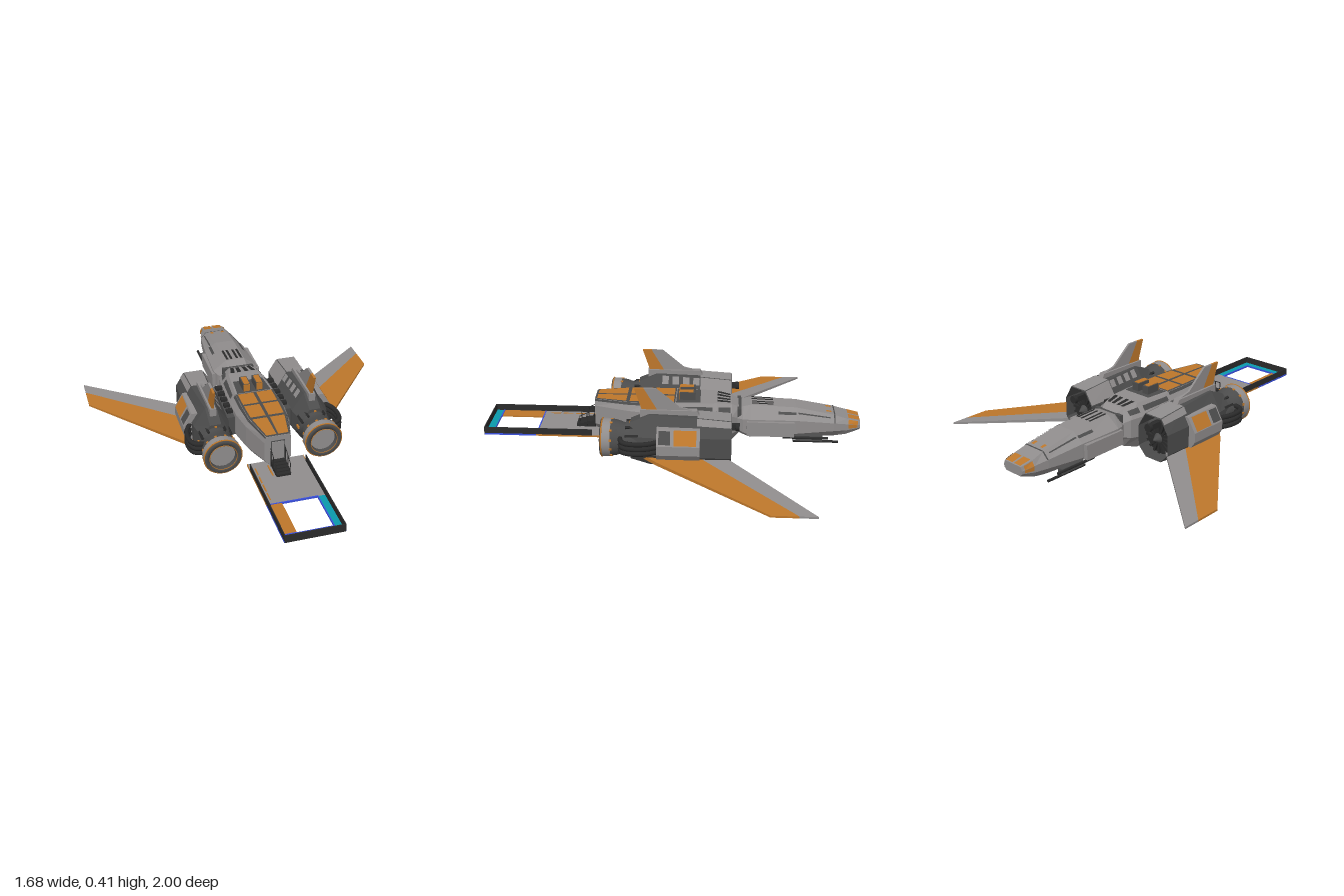
import * as THREE from 'three';

const mat = (name, color) => Object.assign(new THREE.MeshStandardMaterial({ color, side: THREE.DoubleSide }), { name });

export function createModel() {
  const root = new THREE.Group();
  root.name = 'spaceship';
  const M = {
    grey: mat('hull grey', 0x908d8d), dark: mat('dark grey', 0x4c4c4c), black: mat('near black', 0x2b2b2b),
    orange: mat('orange', 0xbd772b), teal: mat('teal', 0x0a9aac), blue: mat('blue', 0x3a50e0),
  };
  const add = (name, geo, m, x = 0, y = 0, z = 0) => {
    const mesh = new THREE.Mesh(geo, m);
    mesh.name = name;
    mesh.position.set(x, y, z);
    root.add(mesh);
    return mesh;
  };
  const box = (name, m, x0, x1, y0, y1, z0, z1) => add(name,
    new THREE.BoxGeometry(Math.abs(x1 - x0), y1 - y0, z1 - z0), m, (x0 + x1) / 2, (y0 + y1) / 2, (z0 + z1) / 2);
  const tube = (name, m, pts, r) => add(name, new THREE.TubeGeometry(
    new THREE.CatmullRomCurve3(pts.map(p => new THREE.Vector3(...p))), 16, r, 8), m);

  // eight-sided cross-section: z, half width, top half width, bottom/low/high/top y, bottom half width
  const ring = ([z, w, wt, yb, yl, yh, yt, wb], cx = 0) =>
    [[wb, yb], [w, yl], [w, yh], [wt, yt], [-wt, yt], [-w, yh], [-w, yl], [-wb, yb]]
      .map(([x, y]) => new THREE.Vector3(x + cx, y, z));
  const fromPoints = v => {
    const g = new THREE.BufferGeometry().setFromPoints(v);
    g.computeVertexNormals();
    return g;
  };
  const loft = (rings, capBack = true) => {
    const v = [], n = 8;
    for (let i = 0; i < rings.length - 1; i++) for (let j = 0; j < n; j++) {
      const a = rings[i][j], b = rings[i][(j + 1) % n], c = rings[i + 1][(j + 1) % n], d = rings[i + 1][j];
      v.push(a, b, d, b, c, d);
    }
    const first = rings[0], last = rings[rings.length - 1];
    for (let j = 1; j < n - 1; j++) {
      if (capBack) v.push(first[0], first[j + 1], first[j]);
      v.push(last[0], last[j], last[j + 1]);
    }
    return fromPoints(v);
  };
  // thin plate lying on one facet between two rings; on side facets u counts upwards
  const panel = (name, m, A, B, j, u0, u1, v0, v1, lift = 0.004) => {
    const k = (j + 1) % 8;
    if (j === 4 || j === 5) [u0, u1] = [1 - u1, 1 - u0];
    const at = (u, v) => A[j].clone().lerp(A[k], u).lerp(B[j].clone().lerp(B[k], u), v);
    const p = [at(u0, v0), at(u1, v0), at(u1, v1), at(u0, v1)];
    const nrm = p[1].clone().sub(p[0]).cross(p[3].clone().sub(p[0])).normalize().multiplyScalar(lift);
    p.forEach(q => q.add(nrm));
    add(name, fromPoints([p[0], p[1], p[3], p[1], p[2], p[3]]), m);
  };
  const shape = pts => new THREE.Shape(pts.map(p => new THREE.Vector2(...p)));

  // forward hull, nose towards -z
  const nose = [
    [-1, .065, .058, .115, .13, .145, .165, .05],
    [-.93, .08, .064, .09, .12, .155, .18, .06],
    [-.86, .095, .06, .078, .12, .165, .2, .06],
    [-.66, .118, .055, .07, .11, .185, .235, .07],
    [-.42, .128, .055, .068, .1, .19, .245, .08],
    [-.38, .115, .055, .08, .11, .185, .235, .07],
    [-.34, .085, .05, .09, .12, .18, .22, .05]].map(s => ring(s));
  add('forwardHull', loft(nose), M.grey);
  for (const [a, b] of [[.06, .45], [.55, .94]]) panel('noseTopPanel', M.orange, nose[0], nose[1], 3, a, b, .05, .9);
  for (const u of [.15, .7]) panel('noseMarker', M.orange, nose[2], nose[3], 3, u, u + .15, .06, .2);
  panel('noseSeam', M.dark, nose[1], nose[2], 3, 0, 1, .9, 1, .002);
  for (const j of [1, 5]) panel('noseCheekPanel', M.orange, nose[0], nose[1], j, .3, 1, .2, .9);
  for (const j of [2, 4]) {
    panel('noseSidePanel', M.orange, nose[0], nose[1], j, 0, .9, .2, .9);
    panel('noseSeam', M.dark, nose[1], nose[2], j, 0, 1, .9, 1, .002);
    panel('canopyGroove', M.dark, nose[2], nose[3], j, .5, .62, .1, .95);
    panel('canopyPanel', M.dark, nose[3], nose[4], j, .4, .6, .0, .4);
  }
  for (const u of [.08, .3, .6, .82]) panel('deckSlot', M.black, nose[3], nose[4], 3, u, u + .12, .5, .98);

  // main hull
  const hull = [
    [-.36, .085, .05, .08, .11, .18, .23, .05],
    [-.32, .118, .065, .04, .1, .2, .25, .065],
    [-.24, .13, .085, .012, .09, .2, .262, .08],
    [-.02, .135, .104, .012, .09, .21, .262, .085],
    [.1, .135, .104, .015, .09, .215, .262, .085],
    [.23, .118, .099, .045, .1, .22, .262, .075],
    [.41, .07, .062, .09, .12, .225, .26, .045]].map(s => ring(s));
  add('mainHull', loft(hull), M.grey);
  for (let i = 3; i < 6; i++) {
    panel('roofFrame', M.dark, hull[i], hull[i + 1], 3, 0, 1, 0, 1, .002);
    for (const [a, b] of [[.05, .46], [.54, .95]]) panel('roofPanel', M.orange, hull[i], hull[i + 1], 3, a, b, .06, .94);
    for (const j of [2, 4]) panel('roofSideFrame', M.dark, hull[i], hull[i + 1], j, .7, 1, 0, 1, .002);
  }
  for (const u of [.08, .3, .56, .78]) panel('roofSlot', M.black, hull[1], hull[2], 3, u, u + .14, .1, .98);
  for (const j of [2, 4]) for (let i = 1; i < 3; i++) panel('roofSideSlot', M.dark, hull[i], hull[i + 1], j, .3, .7, .1, .9);
  panel('ventBed', M.dark, hull[2], hull[3], 3, .05, .95, .4, .98, .002);
  box('neckBand', M.dark, -.09, .09, .1, .232, -.37, -.35);
  box('rearDoorFrame', M.dark, -.037, .037, .12, .232, .408, .412);
  box('rearDoor', M.grey, -.032, .032, .12, .227, .409, .415);

  // boarding steps and rails
  for (let i = 0; i < 5; i++) box('step', M.black, -.038, .038, .085, .098 + i * .006, .495 - i * .02, .518 - i * .02);
  for (const s of [-1, 1]) {
    tube('stepRail', M.black, [[s * .038, .145, .5], [s * .038, .165, .46], [s * .038, .19, .41]], .002);
    for (const [z, y] of [[.5, .145], [.46, .165], [.42, .185]]) box('railPost', M.black, s * .036, s * .04, .085, y, z - .002, z + .002);
  }

  // rear platform with open bay
  box('platformDeck', M.grey, -.15, .15, .078, .085, .37, .72);
  box('bayOrangeStrip', M.orange, -.15, -.075, .078, .085, .72, .955);
  box('bayTealSide', M.teal, .11, .15, .078, .085, .72, .955);
  box('bayTealEnd', M.teal, -.15, .15, .078, .085, .955, .995);
  box('bayBlueEdge', M.blue, -.15, .11, .077, .087, .716, .722);
  box('bayBlueEdge', M.blue, .107, .112, .077, .087, .72, .955);
  box('bayBlueEdge', M.blue, -.15, -.075, .077, .087, .95, .957);
  box('bayBlueEdge', M.blue, -.075, .11, .077, .087, .953, .956);
  for (const z of [.42, .49, .56, .63]) box('deckStripe', M.orange, -.126, -.119, .084, .087, z, z + .055);
  box('deckThreshold', M.orange, -.056, -.048, .084, .087, .41, .5);
  for (const s of [-1, 1]) {
    box('platformWall', M.black, s * .146, s * .151, .086, .12, .42, 1);
    box('platformBlueEdge', M.blue, s * .149, s * .152, .077, .086, .72, .998);
    box('platformOrangeEdge', M.orange, s * .149, s * .152, .077, .086, .37, .72);
  }
  box('platformEndWall', M.black, -.151, .151, .077, .12, .995, 1);

  for (const s of [-1, 1]) {
    const X = .27 * s;
    // roof vents: dark housings with orange lids and rear faces
    box('roofVent', M.dark, s * .015, s * .055, .25, .306, -.125, -.042);
    box('roofVentLid', M.orange, s * .02, s * .05, .305, .309, -.115, -.042);
    box('roofVentRear', M.orange, s * .018, s * .053, .262, .303, -.043, -.038);
    // cheeks and guns beside the nose
    box('hullCheek', M.grey, s * .1, s * .14, .1, .18, -.65, -.4);
    box('gunMount', M.dark, s * .09, s * .122, .072, .1, -.8, -.66);
    for (const [x, y, z] of [[.113, .068, -.885], [.122, .09, -.83]])
      add('gunBarrel', new THREE.CylinderGeometry(.007, .007, .24, 8).rotateX(Math.PI / 2), M.black, s * x, y, z + .12);
    // link between hull and engine
    box('engineLink', M.dark, s * .1, s * .19, .08, .19, -.25, .08);
    for (let i = 0; i < 5; i++) box('linkRib', M.black, s * .13, s * .168, .07, .205, -.23 + i * .06, -.2 + i * .06);

    // engine nacelle, intake open at -z
    const nac = [
      [-.32, .098, .052, .03, .08, .19, .265, .05],
      [-.14, .1, .048, .012, .08, .19, .278, .05],
      [.1, .095, .03, .012, .085, .185, .285, .045],
      [.2, .075, .03, .04, .1, .18, .24, .04]].map(a => ring(a, X));
    add('nacelle', loft(nac, false), M.dark);
    const inner = s > 0 ? 4 : 2, outer = s > 0 ? 2 : 4;
    panel('nacelleRoofPlate', M.grey, nac[0], nac[1], 3, .01, .99, .02, .98);
    panel('nacelleInnerPlate', M.grey, nac[0], nac[1], inner, .05, 1, .02, .98);
    panel('nacelleOuterPlate', M.grey, nac[0], nac[1], outer, .62, 1, .02, .98);
    for (let i = 0; i < 4; i++) panel('nacelleRoofTooth', M.grey, nac[1], nac[2], inner, .55, .95, i * .24, i * .24 + .15);
    add('intakeFan', new THREE.CylinderGeometry(.09, .09, .01, 16).rotateX(Math.PI / 2), M.black, X, .135, -.26);
    add('intakeHub', new THREE.ConeGeometry(.04, .06, 12).rotateX(-Math.PI / 2), M.dark, X, .135, -.29);
    for (let i = 0; i < 8; i++) {
      const blade = add('intakeBlade', new THREE.BoxGeometry(.012, .17, .02), M.black, X, .135, -.27);
      blade.rotation.z = i * Math.PI / 8;
    }
    box('nacelleProbe', M.black, X - .012, X + .012, .2, .23, -.36, -.28);
    add('probeTip', new THREE.CylinderGeometry(.022, .022, .02, 8).rotateX(Math.PI / 2), M.black, X, .215, -.35);

    // exhaust nozzle
    const lathe = pts => new THREE.LatheGeometry(pts.map(p => new THREE.Vector2(...p)), 24).rotateX(Math.PI / 2);
    add('nozzleCollar', lathe([[.07, .12], [.085, .16], [.085, .22], [.078, .23], [.092, .27], [.097, .3]]), M.dark, X, .14, 0);
    add('nozzleBell', lathe([[.097, .3], [.1, .305], [.1, .345]]), M.grey, X, .14, 0);
    add('nozzleLip', lathe([[.1, .345], [.094, .355], [.072, .355], [.066, .325]]), M.dark, X, .14, 0);
    add('nozzleRing', new THREE.TorusGeometry(.099, .004, 6, 32), M.orange, X, .14, .346);
    add('nozzleInnerRing', new THREE.TorusGeometry(.072, .002, 6, 32), M.orange, X, .14, .355);
    add('nozzleCore', new THREE.CircleGeometry(.067, 24), M.grey, X, .14, .33);
    const lug = (name, m, a, r, len, z) => {
      const b = add(name, new THREE.BoxGeometry(.012, .015, len), m, X + Math.sin(a) * r, .14 + Math.cos(a) * r, z);
      b.rotation.z = -a;
    };
    for (let i = 0; i < 12; i++) {
      const a = i * Math.PI / 6, lit = i % 3 === 0;
      lug('collarLug', lit ? M.orange : M.black, a, .086, lit ? .03 : .07, .19);
      lug('bellTab', M.orange, a + .26, .092, .014, .298);
    }

    // outer side pod with a sloping orange hatch, and hoses
    const pod = [-.16, .06].map(z => ring([z, .065, .02, .075, .11, .16, .236, .04], s * .345));
    add('sidePod', loft(pod), M.grey);
    panel('sidePodHatch', M.orange, pod[0], pod[1], outer, .05, .95, .08, .6);
    panel('sidePodVent', M.dark, pod[0], pod[1], outer, .1, .9, .68, .95);
    for (const y of [.115, .142, .169]) tube('hose', M.black,
      [[s * .375, y, .05], [s * .405, y, .11], [s * .41, y, .19], [s * .39, y, .235], [s * .34, y, .25]], .013);

    // swept wing, grey leading strip and orange trailing strip, sloping down to the tip
    const wing = (name, m, pts) => {
      const g = new THREE.ExtrudeGeometry(shape(pts.map(([x, z]) => [x * s, -z])), { depth: .02, bevelEnabled: false })
        .rotateX(-Math.PI / 2);
      const p = g.attributes.position;
      for (let i = 0; i < p.count; i++) {
        const t = (Math.abs(p.getX(i)) - .27) / .57;
        p.setY(i, .055 - t * .03 + p.getY(i) * (1 - t * .5));
      }
      g.computeVertexNormals();
      add(name, g, m);
    };
    wing('wingLeadingStrip', M.grey, [[.27, -.235], [.84, -.73], [.84, -.64], [.27, -.085]]);
    wing('wingTrailingPanel', M.orange, [[.27, -.085], [.84, -.64], [.84, -.505], [.4, .06], [.27, .2]]);

    // tail fin
    const fin = (name, m, pts, t) => add(name, new THREE.ExtrudeGeometry(shape(pts), { depth: t, bevelEnabled: false })
      .rotateY(-Math.PI / 2).translate(t / 2, 0, 0), m, X, 0, 0);
    fin('finBase', M.grey, [[.15, .23], [.15, .305], [-.14, .305], [-.16, .27], [-.16, .23]], .034);
    fin('finFront', M.grey, [[.06, .3], [.13, .42], [.07, .42], [-.05, .32], [-.14, .3]], .012);
    fin('finRear', M.orange, [[.14, .3], [.18, .42], [.13, .42], [.06, .3]], .012);
  }
  return root;
}
